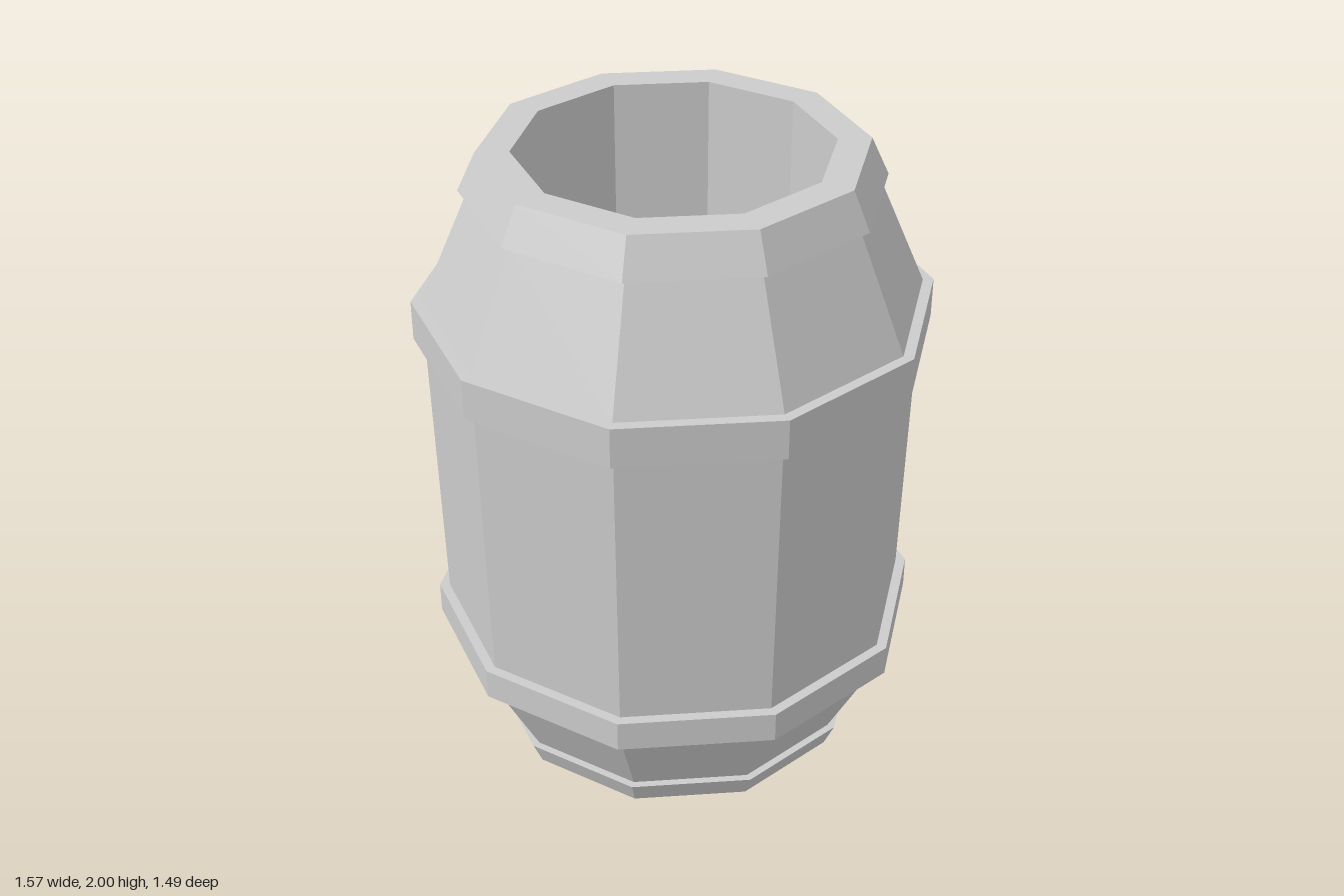
import * as THREE from 'three';

const SIDES = 10;

export function createModel() {
  const group = new THREE.Group();
  group.name = 'barrel';
  const material = new THREE.MeshStandardMaterial({ color: 0xcccccc, flatShading: true });

  // Ten-sided ring from [radius, height] pairs, with corners on the x axis
  const ring = (name, profile) => {
    const points = profile.map(([r, y]) => new THREE.Vector2(r, y));
    const mesh = new THREE.Mesh(new THREE.LatheGeometry(points, SIDES, Math.PI / 2), material);
    mesh.name = name;
    group.add(mesh);
  };

  // Base and its flared lip
  ring('base', [[0, 0], [0.57, 0]]);
  ring('bottomLip', [[0.57, 0], [0.604, 0.08], [0.58, 0.08]]);

  // Staves: lower taper, middle wall, upper taper
  ring('lowerStaves', [[0.58, 0.08], [0.73, 0.38]]);
  ring('middleStaves', [[0.733, 0.48], [0.75, 1.405]]);
  ring('upperStaves', [[0.75, 1.53], [0.595, 1.885]]);

  // Straight hoops standing proud of the staves
  ring('lowerHoop', [[0.73, 0.38], [0.765, 0.38], [0.765, 0.48], [0.733, 0.48]]);
  ring('upperHoop', [[0.75, 1.405], [0.783, 1.405], [0.783, 1.53], [0.75, 1.53]]);

  // Tapered top lip with flat rim
  ring('topLip', [[0.595, 1.885], [0.624, 1.885], [0.57, 2]]);
  ring('rim', [[0.57, 2], [0.47, 2]]);

  // Hollow inside: straight wall and floor
  ring('innerWall', [[0.47, 2], [0.467, 0.15]]);
  ring('innerFloor', [[0.467, 0.15], [0, 0.15]]);

  return group;
}
